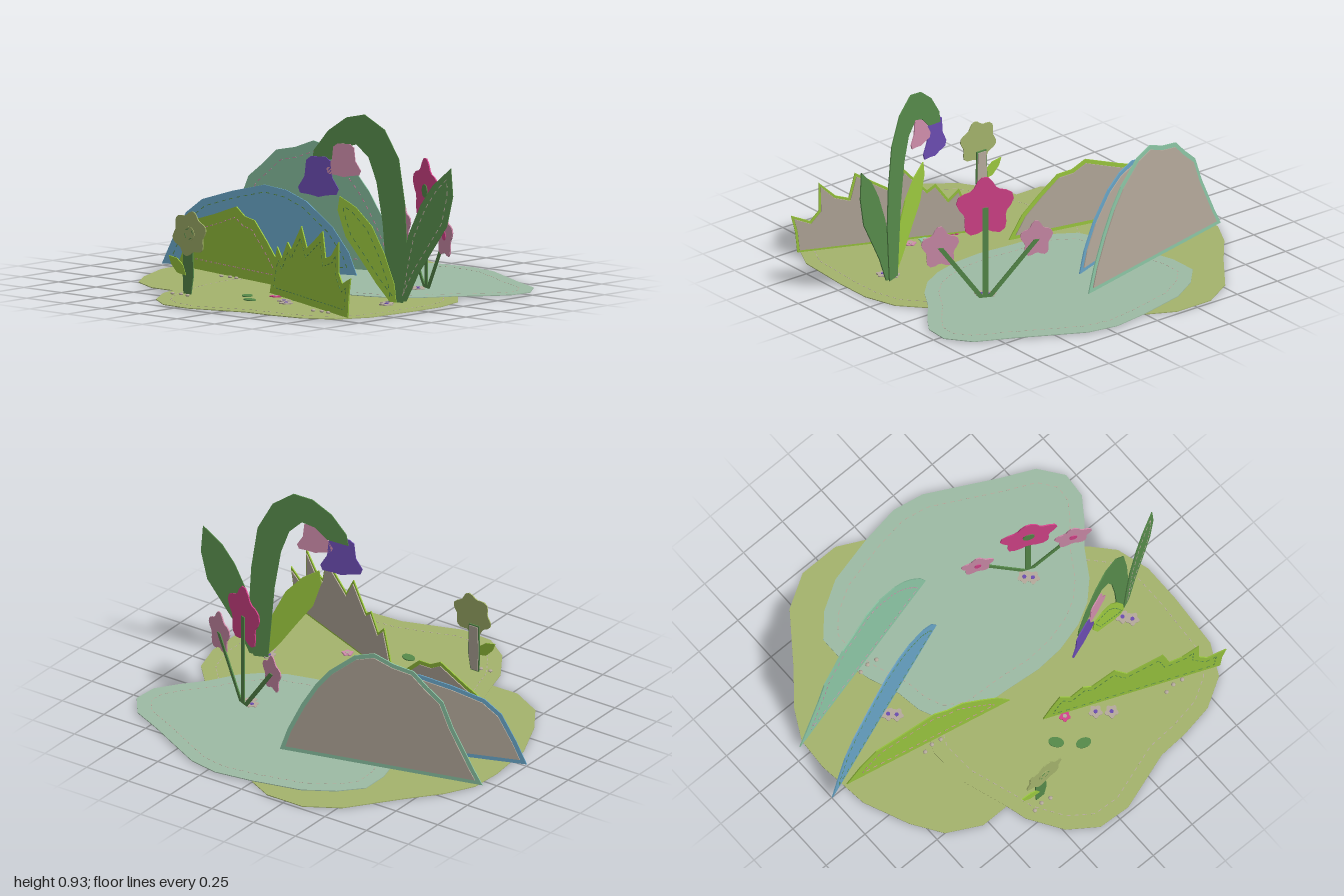
import * as THREE from 'three';
import { mergeGeometries } from 'three/addons/utils/BufferGeometryUtils.js';

const mat = (name, color) => Object.assign(new THREE.MeshStandardMaterial({ color }), { name });
const M = {
  meadow: mat('meadow olive', 0xa4b36c),
  lake: mat('lake sage', 0x9dbba4),
  mint: mat('hill mint', 0x8cc6a5),
  blue: mat('hill blue', 0x68a4c6),
  lime: mat('grass lime', 0x9bc83f),
  stem: mat('stem green', 0x568a4a),
  magenta: mat('petal magenta', 0xd5438a),
  pink: mat('petal pink', 0xcf8dab),
  purple: mat('petal purple', 0x6a4bb0),
  backing: mat('felt backing', 0xb5aa9c),
};

const vec = (pts) => pts.map(([x, y]) => new THREE.Vector2(x, y));

// Shrink a closed outline by a distance, limiting the mitre at sharp tips
function inset(pts, d) {
  const p = THREE.ShapeUtils.area(pts) < 0 ? [...pts].reverse() : pts;
  return p.map((b, i) => {
    const a = p[(i + p.length - 1) % p.length], c = p[(i + 1) % p.length];
    const e = b.clone().sub(a).normalize(), f = c.clone().sub(b).normalize();
    const n = new THREE.Vector2(-e.y - f.y, e.x + f.x).normalize();
    const k = Math.max(0.5, n.x * -e.y + n.y * e.x);
    return b.clone().addScaledVector(n, d / k);
  });
}

function slab(pts, z, depth, holes = []) {
  const shape = new THREE.Shape(pts);
  holes.forEach((h) => shape.holes.push(new THREE.Path(h)));
  return new THREE.ExtrudeGeometry(shape, { depth, bevelEnabled: false }).translate(0, 0, z);
}

// Row of short thread dashes following an outline
function dashes(pts, z) {
  const path = new THREE.Path(pts).closePath();
  const n = Math.round(path.getLength() / 0.02 / 2) * 2;
  const s = path.getSpacedPoints(n), out = [];
  for (let i = 0; i < n; i += 2) {
    const a = s[i], b = s[i + 1];
    out.push(new THREE.BoxGeometry(a.distanceTo(b), 0.004, 0.002)
      .rotateZ(Math.atan2(b.y - a.y, b.x - a.x))
      .translate((a.x + b.x) / 2, (a.y + b.y) / 2, z));
  }
  return mergeGeometries(out);
}

function add(group, name, geometry, material) {
  const mesh = new THREE.Mesh(geometry, material);
  mesh.name = name;
  group.add(mesh);
  return mesh;
}

// Upright felt card standing along the ground line from (x0,z0) to (x1,z1);
// its outlines are given as x positions and heights
function card(root, name, [x0, z0], [x1, z1]) {
  const g = new THREE.Group();
  g.name = name;
  g.position.set(x0, 0, z0);
  g.rotation.y = Math.atan2(z0 - z1, x1 - x0);
  root.add(g);
  const stretch = Math.hypot(x1 - x0, z1 - z0) / (x1 - x0);
  return (part, points, material, { z = 0, back, thread, seam = 0.035 } = {}) => {
    const pts = vec(points.map(([x, y]) => [(x - x0) * stretch, y]));
    add(g, part, slab(pts, z - 0.003, 0.006), material);
    if (back) add(g, part + 'Backing', slab(inset(pts, back), z - 0.008, 0.005), M.backing);
    if (thread) add(g, part + 'Stitches', dashes(inset(pts, seam), z + 0.004), thread);
  };
}

// Scalloped bloom outline
function bloom(cx, cy, r, lobes, depth = 0.16, turn = 0.3, sx = 1) {
  const n = lobes * 6;
  return Array.from({ length: n }, (_, i) => {
    const a = (i / n) * Math.PI * 2;
    const q = r * (1 - depth + depth * Math.cos(lobes * (a - turn)));
    return [cx + sx * q * Math.cos(a), cy + q * Math.sin(a)];
  });
}

// Hanging bell outline, narrow at the top and flared at the rim
const bell = (cx, top, w, h) => [
  [-0.18, 0], [-0.3, 0.1], [-0.34, 0.5], [-0.5, 0.78], [-0.45, 0.92], [-0.2, 0.95], [0, 1],
  [0.2, 0.95], [0.45, 0.92], [0.5, 0.78], [0.34, 0.5], [0.3, 0.1], [0.18, 0],
].map(([x, y]) => [cx + x * w, top - y * h]);

const stalk = (x0, x1, y1, w) => [[x0 - w, 0.01], [x0 + w, 0.01], [x1 + w, y1], [x1 - w, y1]];

export function createModel() {
  const root = new THREE.Group();
  root.name = 'feltGarden';

  // Ground sheets
  const sheet = (name, points, y, material, thread) => {
    const pts = vec(points.map(([x, z]) => [x, -z]));
    add(root, name, slab(pts, y, 0.004).rotateX(-Math.PI / 2), material);
    if (thread) add(root, name + 'Stitches', dashes(inset(pts, 0.07), y + 0.004).rotateX(-Math.PI / 2), thread);
  };
  sheet('backMeadow', [[-0.35, -0.98], [-0.14, -0.98], [0, -0.91], [0.15, -0.6], [0.2, -0.2], [0.1, 0.2], [-0.1, 0.5],
    [-0.38, 0.59], [-0.53, 0.59], [-0.7, 0.5], [-0.8, 0.35], [-0.9, 0.12], [-0.93, -0.15], [-0.92, -0.32],
    [-0.84, -0.47], [-0.7, -0.64], [-0.52, -0.88]], 0, M.meadow);
  sheet('frontMeadow', [[-0.38, 0.59], [-0.35, 0.7], [-0.24, 0.87], [-0.1, 0.97], [0.07, 0.98], [0.37, 0.88],
    [0.53, 0.87], [0.7, 0.84], [0.85, 0.75], [0.93, 0.59], [0.95, 0.3], [0.95, 0.1], [0.9, -0.07], [0.8, -0.18],
    [0.6, -0.35], [0.35, -0.45], [0.14, -0.48], [0, -0.4], [-0.2, -0.25], [-0.37, -0.06], [-0.47, 0.15],
    [-0.46, 0.35]], 0.002, M.meadow, M.backing);
  sheet('lake', [[-0.5, -0.65], [-0.4, -0.76], [-0.25, -0.85], [0, -0.91], [0.2, -0.94], [0.36, -0.91], [0.55, -0.81],
    [0.7, -0.73], [0.87, -0.65], [0.96, -0.53], [0.95, -0.4], [0.88, -0.3], [0.78, -0.18], [0.7, -0.05],
    [0.61, 0.04], [0.5, 0.1], [0.35, 0.14], [0.2, 0.15], [0, 0.13], [-0.2, 0.12], [-0.33, 0.04], [-0.38, -0.07],
    [-0.4, -0.2], [-0.46, -0.35], [-0.5, -0.5]], 0.005, M.lake, M.backing);

  // Hills
  card(root, 'backHill', [-0.95, -0.3], [0.08, -0.56])('hillPanel', [[-0.95, 0.01], [-0.9, 0.1], [-0.8, 0.3],
    [-0.75, 0.43], [-0.67, 0.5], [-0.6, 0.57], [-0.5, 0.59], [-0.4, 0.63], [-0.3, 0.6], [-0.17, 0.49], [-0.1, 0.4],
    [-0.03, 0.28], [0.04, 0.13], [0.08, 0.01]], M.mint, { back: 0.022, thread: M.pink, seam: 0.05 });
  card(root, 'middleHill', [-0.99, 0], [-0.03, -0.35])('hillPanel', [[-1, 0.01], [-0.95, 0.13], [-0.88, 0.27],
    [-0.8, 0.34], [-0.65, 0.39], [-0.49, 0.43], [-0.38, 0.41], [-0.28, 0.36], [-0.15, 0.24], [-0.07, 0.12],
    [-0.03, 0.01]], M.blue, { back: 0.022, thread: M.stem });
  card(root, 'frontHill', [-0.88, 0], [-0.01, 0.18])('hillPanel', [[-0.9, 0.01], [-0.83, 0.14], [-0.74, 0.26],
    [-0.6, 0.3], [-0.42, 0.36], [-0.35, 0.32], [-0.27, 0.31], [-0.17, 0.22], [-0.08, 0.13], [-0.01, 0.01]],
  M.lime, { back: 0.02, thread: M.pink, seam: 0.05 });

  // Jagged grass
  card(root, 'grass', [0.07, 0.37], [0.89, 0.71])('grassPanel', [[0.05, 0.01], [0.09, 0.14], [0.13, 0.25], [0.18, 0.2],
    [0.24, 0.29], [0.28, 0.26], [0.39, 0.39], [0.45, 0.29], [0.53, 0.34], [0.62, 0.4], [0.65, 0.27], [0.71, 0.29],
    [0.79, 0.37], [0.79, 0.22], [0.83, 0.17], [0.92, 0.21], [0.9, 0.12], [0.89, 0.01]],
  M.lime, { back: 0.012, thread: M.stem });

  // Drooping bellflower
  const bells = card(root, 'bellflower', [0.25, 0.35], [0.97, 0.08]);
  bells('archedStem', [[0.68, 0.01], [0.65, 0.4], [0.62, 0.6], [0.58, 0.72], [0.52, 0.78], [0.46, 0.76], [0.4, 0.7],
    [0.3, 0.68], [0.31, 0.74], [0.38, 0.84], [0.47, 0.91], [0.56, 0.93], [0.66, 0.86], [0.73, 0.72], [0.76, 0.5],
    [0.77, 0.3], [0.75, 0.01]], M.stem);
  bells('tallLeaf', [[0.72, 0.01], [0.75, 0.2], [0.78, 0.35], [0.84, 0.5], [0.9, 0.6], [0.99, 0.69], [1, 0.55],
    [0.97, 0.4], [0.9, 0.28], [0.83, 0.16], [0.77, 0.02]], M.stem, { z: 0.006, thread: M.backing, seam: 0.03 });
  bells('shortLeaf', [[0.69, 0.01], [0.62, 0.1], [0.54, 0.22], [0.47, 0.32], [0.43, 0.45], [0.44, 0.52], [0.52, 0.47],
    [0.6, 0.38], [0.66, 0.25], [0.71, 0.1], [0.72, 0.01]], M.lime, { z: 0.007, thread: M.stem, seam: 0.03 });
  bells('purpleBell', bell(0.335, 0.71, 0.2, 0.2), M.purple, { z: 0.008 });
  bells('pinkBell', bell(0.46, 0.78, 0.17, 0.165), M.pink, { z: 0.008 });

  // Three blooms on fanned stems
  const trio = card(root, 'flowerTrio', [0.19, -0.41], [0.8, -0.15]);
  [['magenta', 0.5, 0.49, 0.165, M.magenta, 0.85], ['leftPink', 0.26, 0.29, 0.1, M.pink, 0.8],
    ['rightPink', 0.71, 0.3, 0.115, M.pink, 0.8]].forEach(([name, x, y, r, m, sx]) => {
    trio(name + 'Stem', stalk(0.5 + (x - 0.5) * 0.08, x, y, 0.013), M.stem);
    trio(name + 'Bloom', bloom(x, y, r, 5, 0.14, 0.3, sx), m, { z: 0.005 });
    trio(name + 'Centre', bloom(x, y, r * 0.2, 5, 0, 0, sx), m === M.pink ? M.magenta : M.stem, { z: 0.009 });
  });

  // Small round flower at the front
  const daisy = card(root, 'smallFlower', [-0.33, 0.66], [-0.12, 0.66]);
  daisy('flowerStem', [[-0.25, 0.01], [-0.2, 0.01], [-0.185, 0.1], [-0.19, 0.26], [-0.25, 0.26], [-0.255, 0.12]],
    M.stem, { back: 0.006 });
  daisy('flowerLeaf', [[-0.23, 0.1], [-0.29, 0.11], [-0.33, 0.15], [-0.345, 0.19], [-0.29, 0.18], [-0.25, 0.15]],
    M.lime, { z: 0.003 });
  daisy('flowerHead', bloom(-0.205, 0.31, 0.115, 6, 0.1), M.meadow, { z: 0.007 });
  daisy('flowerEye', bloom(-0.205, 0.31, 0.035, 6, 0), M.meadow, { z: 0.01, thread: M.stem, seam: 0.008 });

  // Scattered appliqué blossoms, leaves and beads on the ground
  const lay = (name, outline, x, z, m, y = 0.005) => {
    const mesh = add(root, name, slab(vec(outline), 0, 0.006).rotateX(-Math.PI / 2), m);
    mesh.position.set(x, y, z);
    return mesh;
  };
  [[0.46, -0.26, M.backing], [0.49, -0.23, M.backing], [-0.51, -0.15, M.backing], [-0.48, -0.12, M.backing],
    [0.69, 0.21, M.backing], [0.72, 0.25, M.backing], [0.27, 0.5, M.backing], [0.33, 0.55, M.backing],
    [0.14, 0.42, M.magenta], [0.39, 0.45, M.pink], [0.31, 0.44, M.mint]].forEach(([x, z, m]) => {
    lay('groundBlossom', bloom(0, 0, m === M.backing ? 0.036 : 0.03, 5, 0.14), x, z, m, 0.006);
    lay('groundBlossomEye', bloom(0, 0, 0.01, 3, 0), x, z, m === M.backing ? M.purple : M.backing, 0.008);
  });
  [[0.02, 0.495, -0.9], [0.12, 0.585, -0.3]].forEach(([x, z, turn]) => {
    lay('groundLeaf', bloom(0, 0, 0.026, 3, 0, 0, 1.5), x, z, M.stem).rotation.y = turn;
  });
  [[-0.42, -0.41], [-0.45, 0.11], [-0.24, 0.69], [0.65, 0.64]].forEach(([x, z]) => {
    for (let i = -1; i <= 1; i++) {
      const bead = add(root, 'bead', new THREE.SphereGeometry(0.011, 10, 6), M.backing);
      bead.scale.y = 0.6;
      bead.position.set(x + i * 0.05, 0.011, z + Math.abs(i) * 0.008);
    }
  });
  return root;
}
